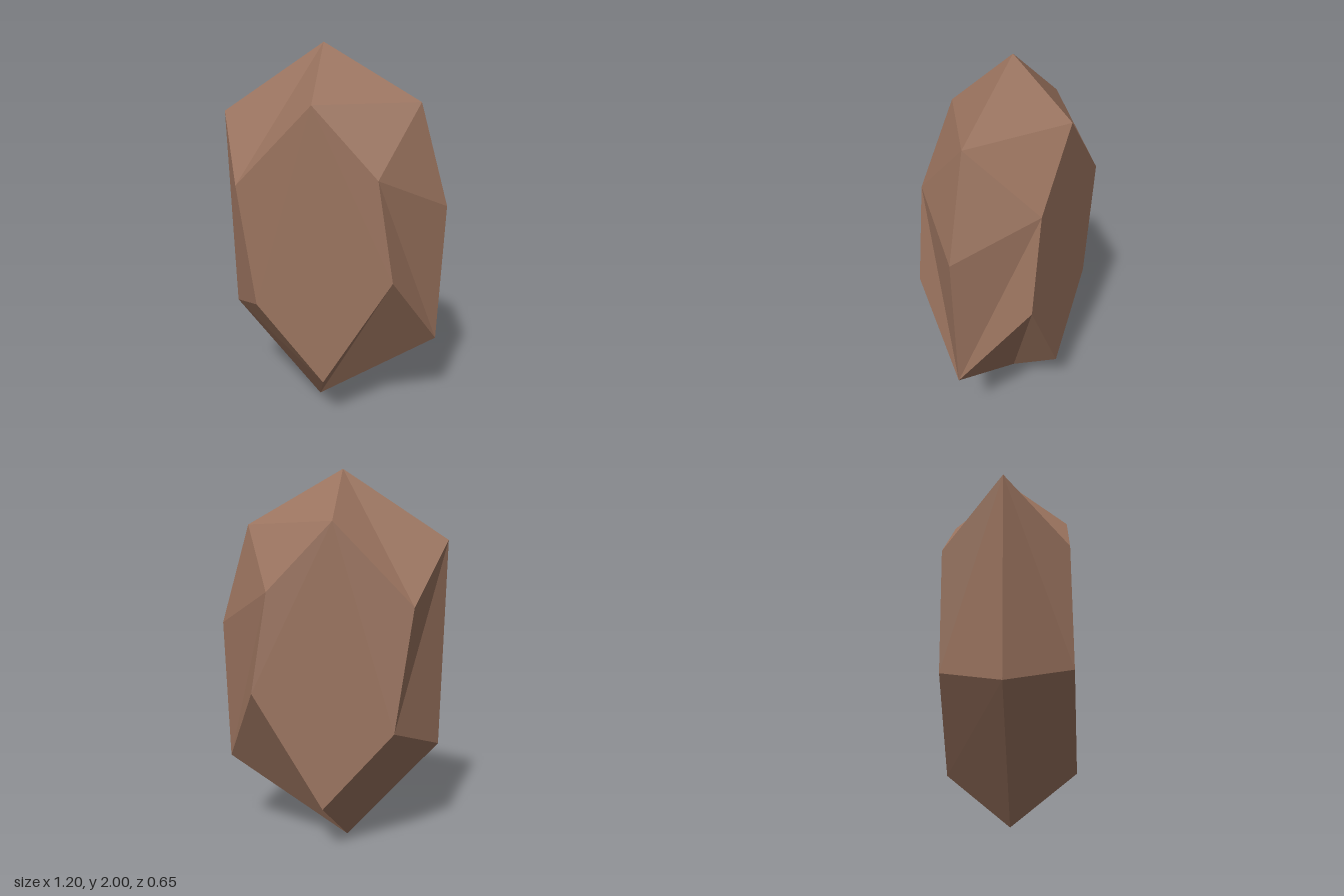
import * as THREE from 'three';

// Girdle outline at z = 0 and flat face outline at z = +-DEPTH, both clockwise from the top
const GIRDLE = [[-0.05, 2], [0.45, 1.72], [0.6, 1.2], [0.575, 0.45], [-0.08, 0], [-0.575, 0.545], [-0.6, 1.64]];
const FACE = [[-0.02, 1.73], [0.305, 1.39], [0.388, 0.88], [0.03, 0.275], [-0.33, 0.685], [-0.418, 1.32]];
// Face corner that each girdle corner slopes to
const LINK = [0, 1, 1, 2, 3, 4, 5];
const DEPTH = 0.325;

function createStoneGeometry() {
  const positions = [];
  const girdle = GIRDLE.map(([x, y]) => [x, y, 0]);

  for (const side of [1, -1]) {
    const face = FACE.map(([x, y]) => [x, y, side * DEPTH]);
    const addTriangle = (a, b, c) => positions.push(...a, ...(side > 0 ? b : c), ...(side > 0 ? c : b));

    // Bevel facets between the girdle and the flat face
    girdle.forEach((outer, i) => {
      const j = (i + 1) % girdle.length;
      const inner = face[LINK[i]];
      const nextInner = face[LINK[j]];
      addTriangle(outer, inner, girdle[j]);
      if (inner !== nextInner) addTriangle(inner, nextInner, girdle[j]);
    });

    // Broad flat face
    for (let i = 1; i < face.length - 1; i++) addTriangle(face[0], face[i + 1], face[i]);
  }

  const geometry = new THREE.BufferGeometry();
  geometry.setAttribute('position', new THREE.Float32BufferAttribute(positions, 3));
  geometry.computeVertexNormals();
  return geometry;
}

export function createModel() {
  const group = new THREE.Group();
  group.name = 'facetedStone';

  const brownStone = new THREE.MeshStandardMaterial({ color: 0x9a735e });
  brownStone.name = 'brownStone';

  const stone = new THREE.Mesh(createStoneGeometry(), brownStone);
  stone.name = 'stone';
  group.add(stone);
  return group;
}
